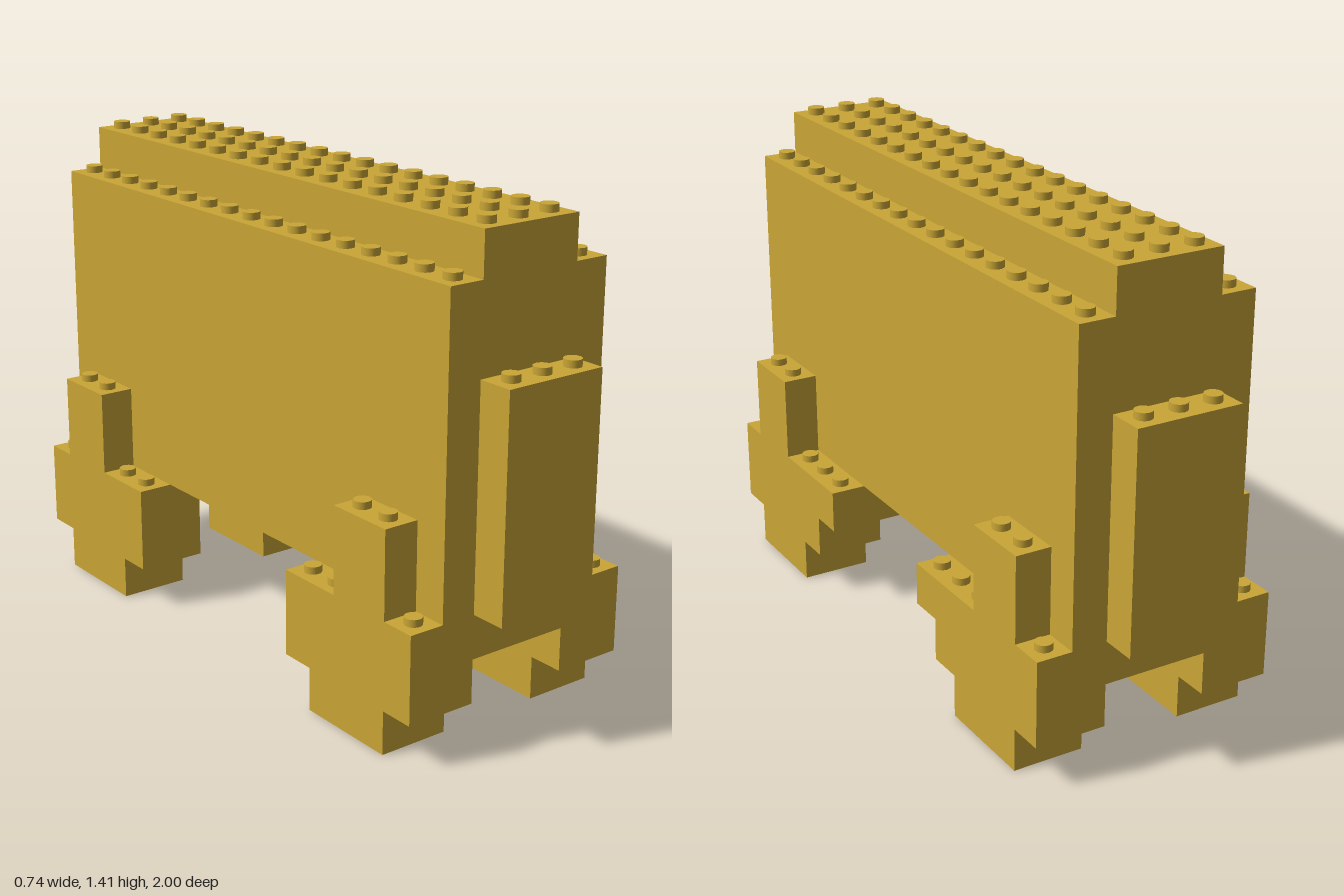
import * as THREE from 'three';

// Stud pitch, brick height, stud size
const P = 2 / 19, H = 0.1263, STUD_R = 0.025, STUD_H = 0.021;

export function createModel() {
  const model = new THREE.Group();
  model.name = 'brickModel';
  const gold = new THREE.MeshStandardMaterial({ color: 0xcaa636 });
  gold.name = 'gold';
  const studGeometry = new THREE.CylinderGeometry(STUD_R, STUD_R, STUD_H, 20);

  // Brick between stud coordinates x0..x1, z0..z1, on the given layer
  function brick(parent, name, x0, x1, z0, z1, layer) {
    const geometry = new THREE.BoxGeometry((x1 - x0) * P, H, (z1 - z0) * P);
    const mesh = new THREE.Mesh(geometry, gold);
    mesh.name = name;
    mesh.position.set((x0 + x1) / 2 * P, (layer + 0.5) * H, (z0 + z1) / 2 * P);
    parent.add(mesh);
  }

  // Row of bricks laid end to end, split at the given z seams
  function row(parent, name, halfWidth, seams, layer) {
    const z = [-8.5, ...seams, 8.5];
    for (let i = 0; i + 1 < z.length; i++) brick(parent, name, -halfWidth, halfWidth, z[i], z[i + 1], layer);
  }

  // Studs over an area, standing on top of the given layer
  function studs(parent, x0, x1, z0, z1, layer) {
    for (let x = x0 + 0.5; x < x1; x++) {
      for (let z = z0 + 0.5; z < z1; z++) {
        const mesh = new THREE.Mesh(studGeometry, gold);
        mesh.name = 'stud';
        mesh.position.set(x * P, (layer + 1) * H + STUD_H / 2, z * P);
        parent.add(mesh);
      }
    }
  }

  function group(name) {
    const g = new THREE.Group();
    g.name = name;
    model.add(g);
    return g;
  }

  // Body walls, layers 3 to 9
  const body = group('body');
  const bodySeams = [[-2.5, 5.5], [-2.5, 5.5], [0.5], [], [-0.5],
    [-6.5, -1.5, 3.5], [-7.5, -3.5, 1.5, 6.5]];
  bodySeams.forEach((seams, i) => row(body, 'bodyBrick', 2.5, seams, 3 + i));
  for (const x of [-2.5, 1.5]) studs(body, x, x + 1, -8.5, 8.5, 9);

  // Narrow ridge along the back
  const ridge = group('ridge');
  row(ridge, 'ridgeBrick', 1.5, [-7.5, 0.5], 10);
  studs(ridge, -1.5, 1.5, -8.5, 8.5, 10);

  // Stacked panels on the front and back ends
  for (const [name, z] of [['frontPanel', 8.5], ['backPanel', -9.5]]) {
    const panel = group(name);
    for (let layer = 3; layer < 8; layer++) brick(panel, 'panelBrick', -1.5, 1.5, z, z + 1, layer);
    studs(panel, -1.5, 1.5, z, z + 1, 7);
  }

  // Legs, shoulders and the crossbars that join them
  for (const end of [1, -1]) {
    const endName = end > 0 ? 'front' : 'back';
    const span = (a, b) => (end > 0 ? [a, b] : [-b, -a]);
    const crossbar = group(endName + 'Crossbar');
    brick(crossbar, 'crossbarBrick', -1.5, 0.5, ...span(5.5, 8.5), 2);

    for (const side of [1, -1]) {
      const leg = group(endName + (side > 0 ? 'Left' : 'Right') + 'Leg');
      const across = (a, b) => (side > 0 ? [a, b] : [-b, -a]);
      const hipEnd = side > 0 ? 2.5 : 3.5;
      brick(leg, 'foot', ...across(1.5, 3.5), ...span(4.5, 7.5), 0);
      brick(leg, 'shin', ...across(1.5, 3.5), ...span(3.5, 8.5), 1);
      brick(leg, 'hip', ...across(side > 0 ? 0.5 : 1.5, 3.5), ...span(hipEnd, 8.5), 2);
      for (const layer of [3, 4]) brick(leg, 'shoulder', ...across(2.5, 3.5), ...span(5.5, 7.5), layer);
      studs(leg, ...across(2.5, 3.5), ...span(7.5, 8.5), 2);
      studs(leg, ...across(2.5, 3.5), ...span(hipEnd, 5.5), 2);
      studs(leg, ...across(2.5, 3.5), ...span(5.5, 7.5), 4);
    }
  }
  return model;
}
